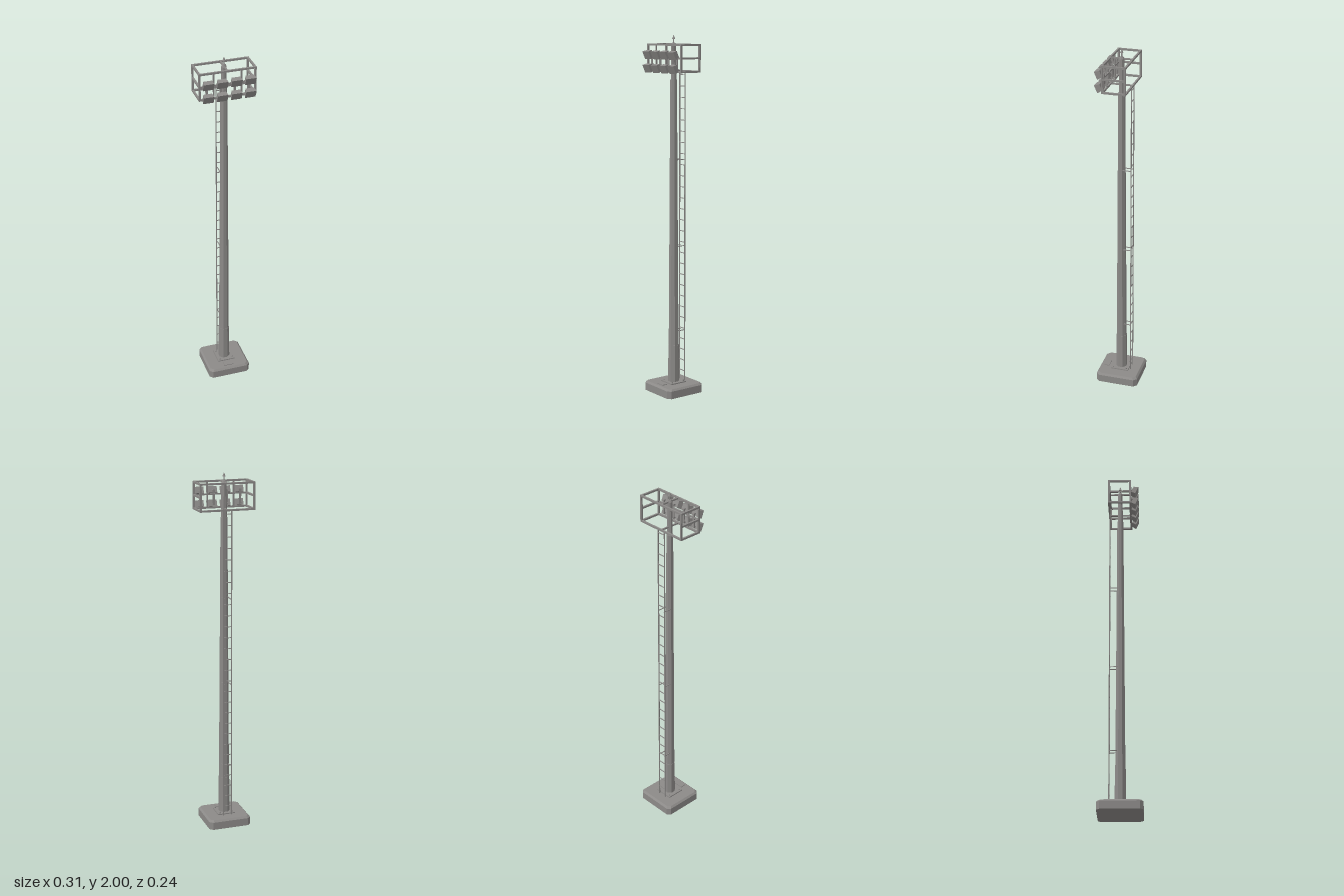
import * as THREE from 'three';

export function createModel() {
  const root = new THREE.Group();
  const steel = new THREE.MeshStandardMaterial({ color: 0x8c8a88, flatShading: true });
  steel.name = 'grey steel';

  const add = (name, geo, x = 0, y = 0, z = 0, parent = root) => {
    const m = new THREE.Mesh(geo, steel);
    m.name = name;
    m.position.set(x, y, z);
    parent.add(m);
    return m;
  };
  const group = (name) => {
    const g = new THREE.Group();
    g.name = name;
    root.add(g);
    return g;
  };
  const box = (name, w, h, d, x, y, z, parent) => add(name, new THREE.BoxGeometry(w, h, d), x, y, z, parent);

  // Square slab with cut corners, its top shrunk by a factor
  function slab(half, cut, y0, y1, topScale) {
    const a = half, b = half - cut;
    const shape = new THREE.Shape(
      [[a, -b], [a, b], [b, a], [-b, a], [-a, b], [-a, -b], [-b, -a], [b, -a]].map(p => new THREE.Vector2(...p)));
    const g = new THREE.ExtrudeGeometry(shape, { depth: y1 - y0, bevelEnabled: false });
    g.rotateX(-Math.PI / 2).translate(0, y0, 0);
    const p = g.attributes.position;
    for (let i = 0; i < p.count; i++) {
      if (p.getY(i) > (y0 + y1) / 2) p.setXYZ(i, p.getX(i) * topScale, p.getY(i), p.getZ(i) * topScale);
    }
    g.computeVertexNormals();
    return g;
  }

  // Footing
  const footing = group('footing');
  add('footingBlock', slab(0.122, 0.018, 0, 0.043, 1), 0, 0, 0, footing);
  add('footingBevel', slab(0.122, 0.018, 0.043, 0.053, 0.92), 0, 0, 0, footing);
  box('anchorPlate', 0.102, 0.006, 0.102, 0, 0.056, 0, footing);
  box('cableHatch', 0.055, 0.004, 0.03, 0, 0.055, 0.083, footing);
  for (const x of [-0.039, 0.039]) for (const z of [-0.039, 0.039]) {
    add('anchorBolt', new THREE.CylinderGeometry(0.004, 0.004, 0.008, 8), x, 0.062, z, footing);
  }

  // Tapered eight-sided mast in sections, flats facing the axes: [bottom y, top y, bottom half width, top half width]
  const mast = group('mast');
  const sections = [[0.053, 0.27, 0.03, 0.028], [0.27, 1.0, 0.0265, 0.022], [1.0, 1.76, 0.022, 0.0175], [1.76, 1.945, 0.0145, 0.013]];
  const flat = Math.cos(Math.PI / 8);
  for (const [y0, y1, r0, r1] of sections) {
    const g = new THREE.CylinderGeometry(r1 / flat, r0 / flat, y1 - y0, 8).rotateY(Math.PI / 8);
    add('mastSection', g, 0, (y0 + y1) / 2, 0, mast);
  }
  add('mastCap', new THREE.CylinderGeometry(0.01, 0.015, 0.012, 8), 0, 1.951, 0, mast);
  add('lightningRod', new THREE.CylinderGeometry(0.003, 0.003, 0.035, 8), 0, 1.965, 0, mast);
  add('rodTip', new THREE.ConeGeometry(0.009, 0.022, 8), 0, 1.989, 0, mast);

  // Ladder up the back
  const ladder = group('ladder');
  const lx = 0.024, lz = -0.06, bottom = 0.053, top = 1.81;
  for (const s of [-1, 1]) {
    box('ladderRail', 0.005, top - bottom, 0.005, s * lx, (top + bottom) / 2, lz, ladder);
    for (const y of [0.35, 0.835, 1.32]) {
      box('ladderBracket', 0.004, 0.004, 0.05, s * 0.018, y, lz + 0.025, ladder);
    }
  }
  for (let y = 0.11; y < top; y += 0.062) {
    box('ladderRung', lx * 2, 0.004, 0.004, 0, y, lz, ladder);
  }

  // Open frame at the top
  const frame = group('lampFrame');
  const t = 0.01, fx = 0.15, fz = 0.061, yLow = 1.805, yMid = 1.877, yHigh = 1.947;
  const yc = (yLow + yHigh) / 2, h = yHigh - yLow + t;
  for (const s of [-1, 1]) {
    for (const z of [-fz, fz]) box('framePost', t, h, t, s * fx, yc, z, frame);
    for (const y of [yLow, yMid, yHigh]) box('sideRail', t, t, fz * 2, s * fx, y, 0, frame);
    for (const y of [yLow, yHigh]) box('longRail', fx * 2, t, t, 0, y, s * fz, frame);
    box('lampPost', 0.007, h, 0.007, s * 0.075, yc, fz, frame);
  }
  box('frontMidRail', fx * 2, 0.008, 0.008, 0, yMid, fz, frame);
  for (const y of [yLow, yHigh]) box('crossRail', 0.008, 0.008, fz * 2, 0, y, 0, frame);

  // Floodlights in two rows, tilted down, narrower at the back
  const lampGeo = new THREE.BoxGeometry(0.057, 0.045, 0.028).toNonIndexed();
  const p = lampGeo.attributes.position;
  for (let i = 0; i < p.count; i++) {
    if (p.getZ(i) < 0) p.setXY(i, p.getX(i) * 0.8, p.getY(i) * 0.8);
  }
  lampGeo.computeVertexNormals();
  const lamps = group('floodlights');
  for (const y of [1.895, 1.822]) for (const x of [-0.113, -0.038, 0.038, 0.113]) {
    add('floodlight', lampGeo, x, y, 0.086, lamps).rotation.x = 0.42;
    box('lampArm', 0.012, 0.008, 0.02, x, y, 0.068, lamps);
    box('lampBracket', 0.012, Math.abs(y - yMid) + 0.01, 0.006, x, (y + yMid) / 2, 0.062, lamps);
  }
  return root;
}
